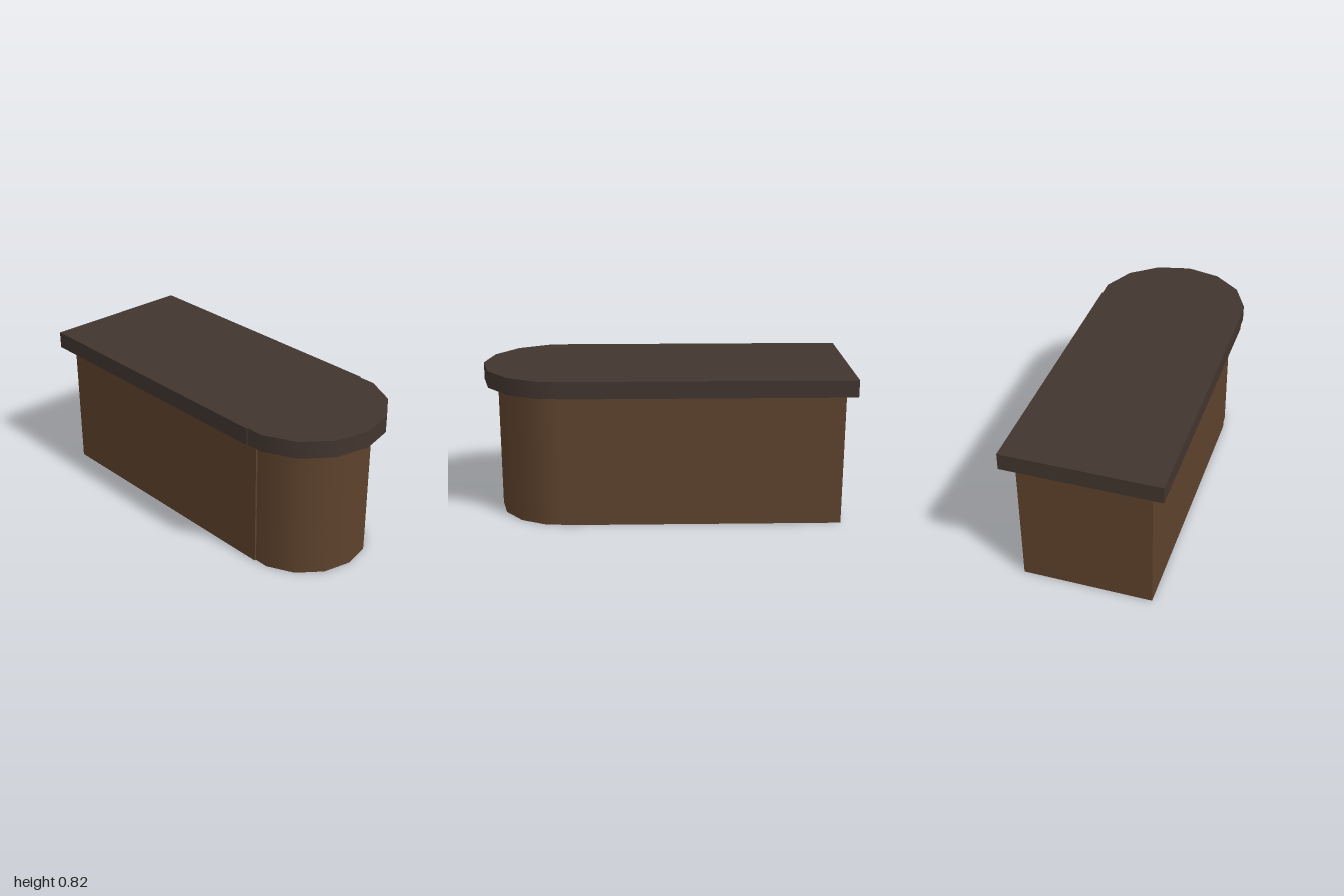
import * as THREE from 'three';

const END_X = 0.575; // centre of the rounded end

export function createModel() {
  const group = new THREE.Group();
  group.name = 'counter';

  const wood = new THREE.MeshStandardMaterial({ color: 0x5e422c });
  wood.name = 'brown wood';
  const darkWood = new THREE.MeshStandardMaterial({ color: 0x42352e });
  darkWood.name = 'dark wood';

  // One layer: a straight block with a 14-sided drum at its +x end
  function addLayer(name, material, left, halfDepth, radius, y0, y1) {
    const layer = new THREE.Group();
    layer.name = name;
    const height = y1 - y0;
    const block = new THREE.Mesh(
      new THREE.BoxGeometry(END_X - left, height, halfDepth * 2), material);
    block.name = name + 'Block';
    block.position.set((left + END_X) / 2, (y0 + y1) / 2, 0);
    // start the ring at +x so a corner points along the counter
    const drum = new THREE.Mesh(
      new THREE.CylinderGeometry(radius, radius, height, 14, 1, false, Math.PI / 2), material);
    drum.name = name + 'RoundedEnd';
    drum.position.set(END_X, (y0 + y1) / 2, 0);
    layer.add(block, drum);
    group.add(layer);
  }

  addLayer('base', wood, -0.95, 0.353, 0.352, 0, 0.732);
  addLayer('worktop', darkWood, -1, 0.422, 0.425, 0.732, 0.825);

  return group;
}
